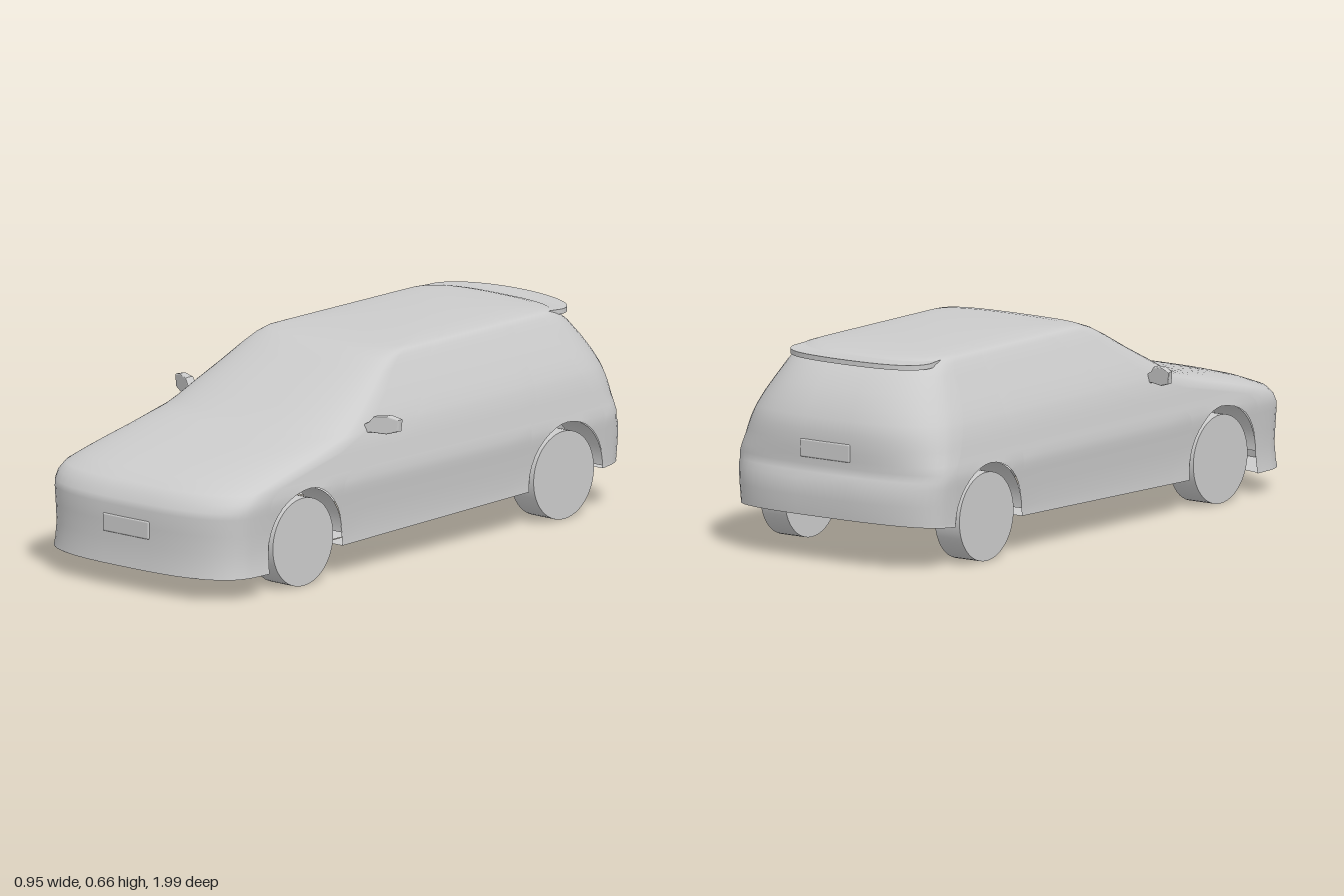
import * as THREE from 'three';
import { RoundedBoxGeometry } from 'three/addons/geometries/RoundedBoxGeometry.js';

const WHEEL_Z = [0.585, -0.65], WHEEL_R = 0.143, ARCH_R = 0.173, ARCH_Y = 0.145;

// Horizontal body slices: y, half width, front z, front corner start, rear corner start, rear z
const SLICES = [
  [0.065, 0.410, 0.995, 0.79, -0.83, -0.985], [0.10, 0.404, 0.99, 0.79, -0.83, -0.99],
  [0.15, 0.401, 0.985, 0.79, -0.83, -0.995], [0.21, 0.405, 0.985, 0.79, -0.83, -1.0],
  [0.265, 0.410, 0.985, 0.79, -0.83, -0.995], [0.285, 0.412, 0.978, 0.79, -0.83, -0.977],
  [0.31, 0.412, 0.96, 0.78, -0.83, -0.975], [0.335, 0.406, 0.938, 0.74, -0.82, -0.976],
  [0.36, 0.401, 0.875, 0.62, -0.80, -0.977], [0.38, 0.397, 0.80, 0.52, -0.79, -0.977],
  [0.40, 0.393, 0.71, 0.42, -0.78, -0.976], [0.42, 0.388, 0.60, 0.36, -0.77, -0.974],
  [0.44, 0.382, 0.49, 0.30, -0.76, -0.970], [0.46, 0.375, 0.435, 0.26, -0.75, -0.963],
  [0.50, 0.357, 0.36, 0.20, -0.73, -0.945], [0.55, 0.330, 0.262, 0.13, -0.71, -0.912],
  [0.60, 0.303, 0.168, 0.07, -0.70, -0.865], [0.63, 0.286, 0.11, 0.02, -0.68, -0.825],
  [0.644, 0.274, 0.07, -0.02, -0.66, -0.80], [0.651, 0.255, 0.02, -0.08, -0.63, -0.77],
  [0.656, 0.19, -0.08, -0.2, -0.60, -0.70], [0.659, 0.10, -0.25, -0.35, -0.52, -0.60],
];

function sliceAt(y) {
  const i = THREE.MathUtils.clamp(SLICES.findIndex(s => s[0] >= y), 1, SLICES.length - 1);
  const a = SLICES[i - 1], b = SLICES[i];
  const t = THREE.MathUtils.clamp((y - a[0]) / (b[0] - a[0]), 0, 1);
  return a.map((v, k) => v + (b[k] - v) * t);
}

// Height of the lower body edge without the arches
function sill(z) {
  if (z > 0.7) return 0.072;
  if (z > -0.7) return 0.11 - 0.02 * z;
  return 0.135 + 0.08 * Math.max(0, -z - 0.82);
}

function lowerEdge(z) {
  for (const c of WHEEL_Z) {
    const d = Math.abs(z - c);
    if (d <= ARCH_R + 1e-6) return ARCH_Y + Math.sqrt(Math.max(0, ARCH_R ** 2 - d * d));
  }
  return sill(z);
}

// Outline stations from front centre to rear centre: corners by angle, side by z fraction
function stations() {
  const N = 12, list = [];
  for (let i = 0; i <= N; i++) list.push({ corner: 'front', a: i / N * Math.PI / 2 });
  const zs = [];
  for (const c of WHEEL_Z) {
    zs.push(c + ARCH_R + 0.003);
    for (let i = 0; i <= 18; i++) zs.push(c + ARCH_R * Math.cos(i / 18 * Math.PI));
    zs.push(c - ARCH_R - 0.003);
  }
  for (let i = 1; i < 8; i++) zs.push(0.409 - i / 8 * 0.883);
  zs.sort((a, b) => b - a).forEach(z => list.push({ f: (0.79 - z) / 1.62 }));
  for (let i = N; i >= 0; i--) list.push({ corner: 'rear', a: i / N * Math.PI / 2 });
  return list;
}

function outlinePoint(st, y) {
  const [, w, zF, sF, sB, zB] = sliceAt(y);
  if (!st.corner) return [w, sF + (sB - sF) * st.f];
  const s = Math.sin(st.a) ** 0.7, c = Math.max(0, Math.cos(st.a)) ** 0.7;
  return st.corner === 'front' ? [w * s, sF + (zF - sF) * c] : [w * s, sB + (zB - sB) * c];
}

function bodyGeometry() {
  const half = stations(), pos = [], index = [];
  const ring = half.map(st => [st, 1]).concat(half.slice(1, -1).reverse().map(st => [st, -1]));
  const n = ring.length;
  for (const [y0] of SLICES) {
    for (const [st, side] of ring) {
      const y = Math.max(y0, lowerEdge(outlinePoint(st, y0)[1]) * (y0 < 0.33 ? 1 : 0));
      const [x, z] = outlinePoint(st, y);
      pos.push(x * side, y, z);
    }
  }
  for (let r = 0; r < SLICES.length - 1; r++) {
    for (let c = 0; c < n; c++) {
      const a = r * n + c, b = r * n + (c + 1) % n;
      index.push(a, b, b + n, a, b + n, a + n);
    }
  }
  // Roof centre
  const top = pos.length / 3, last = top - n;
  pos.push(0, 0.66, -0.43);
  for (let c = 0; c < n; c++) index.push(last + c, last + (c + 1) % n, top);
  const g = new THREE.BufferGeometry();
  g.setAttribute('position', new THREE.Float32BufferAttribute(pos, 3));
  g.setIndex(index);
  g.computeVertexNormals();
  return g;
}

// Flat plan shape of [x, z] points laid at the height given by heightAt(z)
function planGeometry(points, heightAt) {
  const g = new THREE.ShapeGeometry(new THREE.Shape(points.map(p => new THREE.Vector2(...p))));
  const p = g.attributes.position;
  for (let i = 0; i < p.count; i++) {
    const z = p.getY(i);
    p.setXYZ(i, p.getX(i), heightAt(z), z);
  }
  g.computeVertexNormals();
  return g;
}

const mirrored = pts => pts.concat(pts.slice().reverse().map(([x, z]) => [-x, z]));

export function createModel() {
  const car = new THREE.Group();
  const grey = new THREE.MeshStandardMaterial({ color: 0xcccccc });
  const thin = new THREE.MeshStandardMaterial({ color: 0xcccccc, side: THREE.DoubleSide });
  const add = (name, geometry, material = grey) => {
    const m = new THREE.Mesh(geometry, material);
    m.name = name;
    car.add(m);
    return m;
  };

  add('bodyShell', bodyGeometry(), thin);

  // Underside: rear floor with wheel notches, sill strips running forward, front tray
  const floor = mirrored([
    [0.33, 0.0], [0.33, 0.41], [0.4, 0.41], [0.4, -0.475], [0.27, -0.475],
    [0.27, -0.825], [0.4, -0.825], [0.385, -0.9], [0.33, -0.95], [0.2, -0.98],
  ]);
  add('floor', planGeometry(floor, sill), thin);
  add('frontTray', planGeometry([[-0.27, 0.8], [0.27, 0.8], [0.33, 0.0]], z => 0.11 - 0.045 * z), thin);
  const lip = mirrored([[0.403, 0.765], [0.4, 0.82], [0.37, 0.91], [0.28, 0.97], [0.12, 0.992]]);
  add('frontLip', planGeometry(mirrored([[0.27, 0.8]]).concat(lip.slice().reverse()), () => 0.073), thin);

  // Wheels and arch liners
  WHEEL_Z.forEach((z, i) => {
    for (const side of [1, -1]) {
      const label = (i ? 'rear' : 'front') + (side > 0 ? 'Left' : 'Right');
      const wheel = new THREE.CylinderGeometry(WHEEL_R, WHEEL_R, 0.097, 48).rotateZ(Math.PI / 2);
      add(label + 'Wheel', wheel).position.set(side * 0.345, WHEEL_R, z);
      const liner = new THREE.CylinderGeometry(ARCH_R, ARCH_R, 0.13, 32, 1, true, 0, Math.PI).rotateZ(Math.PI / 2);
      add(label + 'ArchLiner', liner, thin).position.set(side * 0.338, ARCH_Y, z);
    }
  });

  // Door mirrors: stalk and swept housing, thinning outwards
  for (const side of [1, -1]) {
    const pts = [[0.35, 0.425], [0.385, 0.445], [0.435, 0.442], [0.468, 0.452], [0.472, 0.485],
      [0.44, 0.494], [0.4, 0.49], [0.386, 0.472], [0.36, 0.458]];
    const shape = new THREE.Shape(pts.map(([x, y]) => new THREE.Vector2(x * side, y)));
    const g = new THREE.ExtrudeGeometry(shape, {
      depth: 0.02, bevelThickness: 0.008, bevelSize: 0.004, bevelSegments: 3,
    });
    const p = g.attributes.position;
    for (let i = 0; i < p.count; i++) {
      const out = Math.abs(p.getX(i)) - 0.35;
      p.setZ(i, p.getZ(i) * (1.3 - out * 6) + 0.245 - out * 0.3);
    }
    g.computeVertexNormals();
    add(side > 0 ? 'leftMirror' : 'rightMirror', g);
  }

  // Roof spoiler over the tailgate, sloping down to the rear
  const spoiler = new THREE.Shape();
  spoiler.moveTo(-0.262, 0.66);
  spoiler.lineTo(-0.27, 0.78);
  spoiler.bezierCurveTo(-0.26, 0.86, -0.15, 0.895, 0, 0.897);
  spoiler.bezierCurveTo(0.15, 0.895, 0.26, 0.86, 0.27, 0.78);
  spoiler.lineTo(0.262, 0.66);
  const sg = new THREE.ExtrudeGeometry(spoiler, { depth: 0.016, bevelEnabled: false, curveSegments: 16 });
  sg.rotateX(-Math.PI / 2);
  const sp = sg.attributes.position;
  for (let i = 0; i < sp.count; i++) {
    const z = sp.getZ(i), x = sp.getX(i);
    sp.setY(i, sp.getY(i) + 0.638 - 0.05 * (-z - 0.66) - 0.1 * x * x);
  }
  sg.computeVertexNormals();
  add('roofSpoiler', sg);

  // Blank plate panels
  add('frontPlate', new RoundedBoxGeometry(0.196, 0.058, 0.012, 3, 0.005)).position.set(0, 0.203, 0.983);
  add('rearPlate', new RoundedBoxGeometry(0.196, 0.058, 0.012, 3, 0.005)).position.set(0, 0.36, -0.974);

  return car;
}
